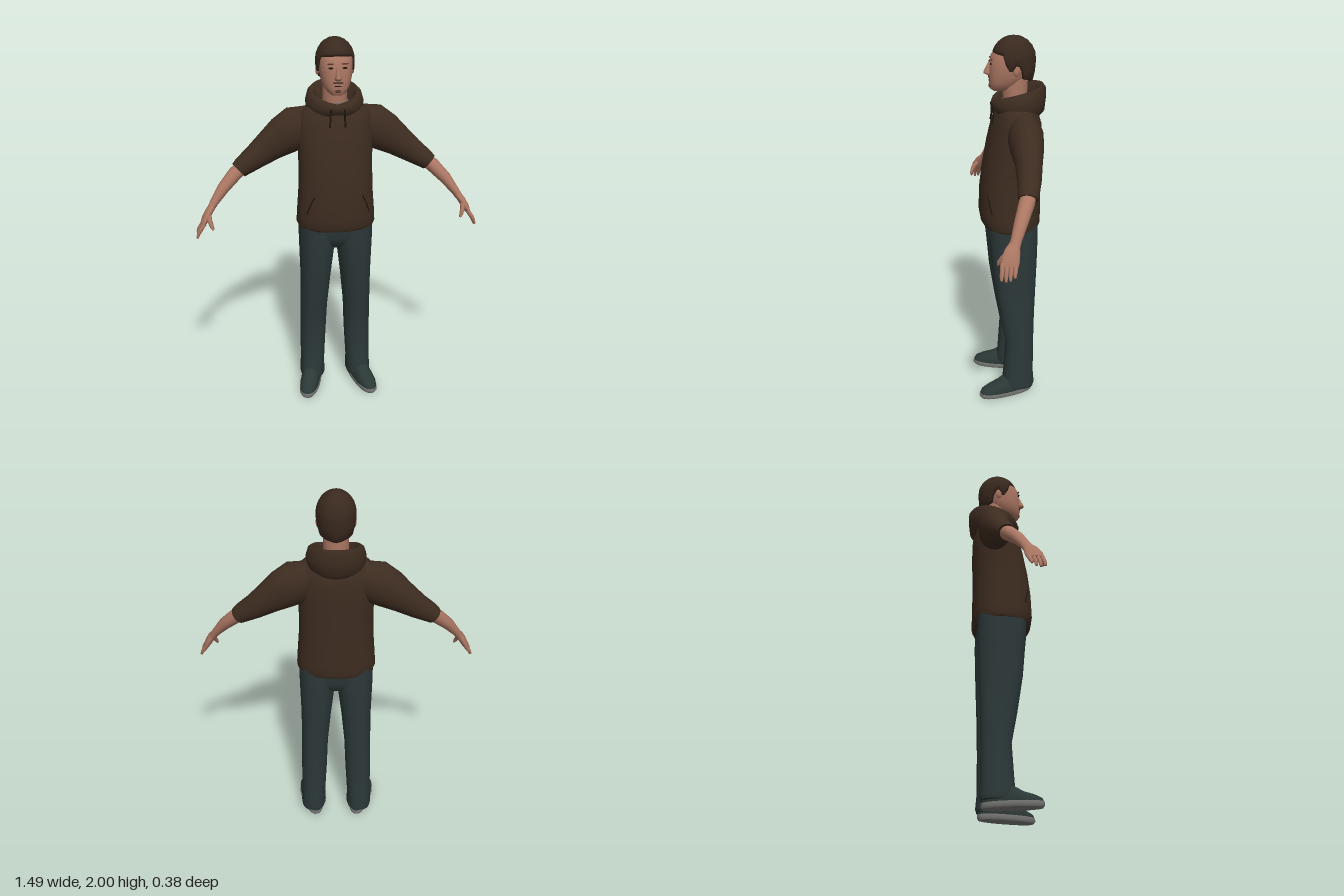
import * as THREE from 'three';

const V = (x, y, z) => new THREE.Vector3(x, y, z);
const colour = (name, hex) => {
  const m = new THREE.MeshStandardMaterial({ color: hex });
  m.name = name;
  return m;
};
const lerp = THREE.MathUtils.lerp;

// Value of a piecewise linear curve given as [position, value] pairs
function curveAt(pairs, p) {
  for (let i = 1; i < pairs.length; i++) {
    const [p0, v0] = pairs[i - 1], [p1, v1] = pairs[i];
    if (p <= p1) return lerp(v0, v1, (p - p0) / (p1 - p0));
  }
  return pairs[pairs.length - 1][1];
}

// Smooth skin over closed rings of points, with flat caps at both ends
function skinRings(rings) {
  const n = rings[0].length, pos = [], idx = [];
  const add = p => pos.push(p.x, p.y, p.z) / 3 - 1;
  rings.forEach(r => r.forEach(add));
  for (let i = 0; i < rings.length - 1; i++)
    for (let j = 0; j < n; j++) {
      const a = i * n + j, b = i * n + (j + 1) % n;
      idx.push(a, b, a + n, b, b + n, a + n);
    }
  [[rings[0], true], [rings[rings.length - 1], false]].forEach(([ring, first]) => {
    const mid = ring.reduce((s, p) => s.add(p), V(0, 0, 0)).divideScalar(n);
    const c = add(mid), s = ring.map(add);
    for (let j = 0; j < n; j++) {
      const k = (j + 1) % n;
      if (first) idx.push(c, s[k], s[j]); else idx.push(c, s[j], s[k]);
    }
  });
  const g = new THREE.BufferGeometry();
  g.setAttribute('position', new THREE.Float32BufferAttribute(pos, 3));
  g.setIndex(idx);
  g.computeVertexNormals();
  return g;
}

const around = (n, f) => Array.from({ length: n }, (_, j) => f(j / n * Math.PI * 2));
const power = (v, e) => Math.sign(v) * Math.abs(v) ** e;

// Upright body: rows of [y, centre x, half width, front z, back z]
const upright = (rows, e = 0.85, n = 28) => skinRings(rows.map(([y, cx, rx, zf, zb]) =>
  around(n, a => V(cx + rx * power(Math.sin(a), e), y, (zf + zb) / 2 + (zf - zb) / 2 * power(Math.cos(a), e)))));

// Limb along a path: rows of [x, y, z, thickness, width along z]
function limb(rows, n = 16) {
  const pts = rows.map(r => V(r[0], r[1], r[2]));
  return skinRings(rows.map((r, i) => {
    const dir = pts[Math.min(i + 1, pts.length - 1)].clone().sub(pts[Math.max(i - 1, 0)]).normalize();
    const v = V(0, 0, 1).addScaledVector(dir, -dir.z).normalize();
    const u = dir.clone().cross(v);
    return around(n, a => pts[i].clone().addScaledVector(u, r[3] * Math.sin(a)).addScaledVector(v, r[4] * Math.cos(a)));
  }));
}

function mirrored(geo) {
  const g = geo.clone().scale(-1, 1, 1), ix = g.index.array;
  for (let i = 0; i < ix.length; i += 3) [ix[i], ix[i + 1]] = [ix[i + 1], ix[i]];
  g.computeVertexNormals();
  return g;
}

const blob = (x, y, z, rx, ry, rz) => new THREE.SphereGeometry(1, 14, 10).scale(rx, ry, rz).translate(x, y, z);
const cord = (pts, r) => new THREE.TubeGeometry(new THREE.CatmullRomCurve3(pts), 8, r, 6);

export function createModel() {
  const model = new THREE.Group();
  model.name = 'standingMan';
  const cloth = colour('brown hoodie', 0x3d2c20), trim = colour('dark trim', 0x1f160f);
  const hairMat = colour('dark brown hair', 0x39291e), skin = colour('skin', 0xab7763);
  const denim = colour('dark teal trousers', 0x2c3838), shoeMat = colour('dark shoe', 0x2b3836);
  const rubber = colour('grey sole', 0x7b7b79), tee = colour('grey shirt', 0x68665f);
  const stubble = colour('facial hair', 0x5d3c30);

  const part = (name, geo, mat) => {
    const m = new THREE.Mesh(geo, mat);
    m.name = name;
    model.add(m);
  };
  const pair = (name, geo, mat) => {
    part(name + 'Left', geo, mat);
    part(name + 'Right', mirrored(geo), mat);
  };

  // Hoodie body
  part('hoodieBody', upright([
    [1.0, 0, 0.203, 0.14, -0.155], [1.02, 0, 0.211, 0.152, -0.165], [1.07, 0, 0.208, 0.16, -0.166],
    [1.2, 0, 0.198, 0.155, -0.165], [1.32, 0, 0.195, 0.14, -0.165], [1.45, 0, 0.197, 0.115, -0.17],
    [1.55, 0, 0.2, 0.09, -0.168], [1.61, 0, 0.19, 0.068, -0.15], [1.645, 0, 0.15, 0.055, -0.13],
    [1.665, 0, 0.09, 0.045, -0.1]], 0.85, 36), cloth);

  // Hood: rows of [half width, front z, front y, back z, back y], outside to inside
  const hoodRows = [[0.13, 0.075, 1.62, -0.15, 1.58], [0.148, 0.09, 1.64, -0.185, 1.62],
    [0.152, 0.092, 1.655, -0.192, 1.68], [0.14, 0.085, 1.672, -0.192, 1.735], [0.122, 0.072, 1.676, -0.178, 1.755],
    [0.104, 0.054, 1.664, -0.145, 1.735], [0.085, 0.04, 1.62, -0.11, 1.66]];
  part('hood', skinRings(hoodRows.map(([rx, zf, yf, zb, yb]) => around(32, a => {
    const t = (1 - Math.cos(a)) / 2;
    return V(rx * Math.sin(a), lerp(yf, yb, t ** 0.6), lerp(zf, zb, t));
  }))), cloth);
  pair('drawstring', cord([V(0.034, 1.655, 0.088), V(0.037, 1.61, 0.083), V(0.04, 1.56, 0.09)], 0.005), trim);
  pair('pocketSlit', cord([V(0.165, 1.1, 0.107), V(0.148, 1.15, 0.117), V(0.125, 1.2, 0.128)], 0.004), trim);

  // Sleeves, forearms and hands
  pair('sleeve', limb([[0.11, 1.56, -0.06, 0.085, 0.075], [0.2, 1.525, -0.06, 0.116, 0.09],
    [0.27, 1.483, -0.058, 0.105, 0.083], [0.34, 1.435, -0.055, 0.085, 0.068], [0.42, 1.378, -0.045, 0.066, 0.06],
    [0.49, 1.332, -0.03, 0.052, 0.053], [0.51, 1.315, -0.025, 0.046, 0.048]], 24), cloth);
  pair('forearm', limb([[0.47, 1.345, -0.04, 0.036, 0.038], [0.53, 1.3, -0.015, 0.038, 0.039],
    [0.595, 1.235, 0.02, 0.032, 0.034], [0.645, 1.17, 0.05, 0.022, 0.027], [0.665, 1.14, 0.063, 0.02, 0.028]]), skin);
  pair('palm', limb([[0.655, 1.155, 0.058, 0.019, 0.025], [0.677, 1.125, 0.073, 0.02, 0.038],
    [0.697, 1.09, 0.085, 0.019, 0.045], [0.711, 1.062, 0.09, 0.012, 0.041]]), skin);
  for (let i = 0; i < 4; i++) {
    const z = 0.122 - i * 0.021, drop = [0.006, 0, 0.004, 0.018][i];
    pair('finger' + (i + 1), limb([[0.7, 1.08, z, 0.011, 0.011], [0.722, 1.047, z + 0.005, 0.011, 0.011],
      [0.733, 1.025 + drop / 2, z + 0.009, 0.009, 0.01], [0.74, 1.0 + drop, z + 0.01, 0.005, 0.006]], 8), skin);
  }
  pair('thumb', limb([[0.677, 1.125, 0.09, 0.014, 0.015], [0.672, 1.095, 0.117, 0.013, 0.014],
    [0.662, 1.068, 0.134, 0.011, 0.011], [0.655, 1.05, 0.138, 0.006, 0.006]], 8), skin);

  // Trousers
  pair('trouserLeg', upright([
    [0.04, 0.134, 0.066, 0.045, -0.12], [0.06, 0.133, 0.071, 0.055, -0.126], [0.13, 0.132, 0.067, 0.048, -0.12],
    [0.33, 0.126, 0.072, 0.035, -0.121], [0.5, 0.121, 0.074, 0.066, -0.125], [0.7, 0.111, 0.083, 0.097, -0.134],
    [0.85, 0.104, 0.094, 0.11, -0.14], [0.93, 0.1, 0.1, 0.118, -0.142], [1.03, 0.1, 0.1, 0.12, -0.142]]), denim);
  part('hips', upright([[0.87, 0, 0.04, 0.05, -0.08], [0.9, 0, 0.12, 0.09, -0.12],
    [0.95, 0, 0.19, 0.115, -0.138], [1.03, 0, 0.2, 0.12, -0.142]]), denim);

  // Shoes, turned slightly outwards
  const place = g => g.rotateY(0.25).translate(0.15, 0, 0.033);
  pair('sole', place(upright([[0, 0, 0.05, 0.152, -0.148], [0.012, 0, 0.057, 0.16, -0.153], [0.028, 0, 0.056, 0.158, -0.152]])), rubber);
  pair('shoe', place(upright([[0.027, 0, 0.054, 0.156, -0.15], [0.045, 0, 0.054, 0.148, -0.15],
    [0.062, 0, 0.05, 0.115, -0.147], [0.08, 0, 0.045, 0.06, -0.143], [0.11, 0, 0.04, 0.01, -0.135]])), shoeMat);

  // Neck, shirt collar and head
  part('neck', upright([[1.6, 0, 0.066, 0.03, -0.1], [1.68, 0, 0.064, 0.028, -0.095], [1.8, 0, 0.064, 0.04, -0.1]], 1), skin);
  part('shirtCollar', upright([[1.63, 0, 0.08, 0.05, -0.105], [1.672, 0, 0.07, 0.038, -0.1]], 1), tee);
  part('head', upright([
    [1.724, 0, 0.03, 0.082, 0.01], [1.735, 0, 0.047, 0.096, -0.02], [1.765, 0, 0.068, 0.1, -0.06],
    [1.8, 0, 0.079, 0.1, -0.09], [1.85, 0, 0.086, 0.099, -0.11], [1.9, 0, 0.087, 0.09, -0.12],
    [1.925, 0, 0.08, 0.073, -0.115], [1.95, 0, 0.07, 0.05, -0.1], [1.985, 0, 0.03, 0.005, -0.06]]), skin);
  part('nose', upright([[1.803, 0, 0.014, 0.11, 0.07], [1.811, 0, 0.019, 0.126, 0.07],
    [1.82, 0, 0.016, 0.128, 0.07], [1.868, 0, 0.009, 0.104, 0.07]], 1, 10), skin);
  pair('ear', blob(0.09, 1.838, -0.028, 0.01, 0.03, 0.018), skin);
  pair('eye', blob(0.035, 1.866, 0.0935, 0.013, 0.005, 0.004), trim);
  pair('eyebrow', blob(0.036, 1.886, 0.0905, 0.018, 0.004, 0.004), stubble);
  part('moustache', blob(0, 1.793, 0.1, 0.027, 0.006, 0.004), stubble);
  part('mouth', blob(0, 1.776, 0.0995, 0.019, 0.003, 0.003), trim);
  part('chinBeard', blob(0, 1.75, 0.0985, 0.015, 0.009, 0.004), stubble);

  // Hair cap with a hairline that dips at the sideburns and nape
  const hairline = [[0, 1.922], [0.3, 1.912], [0.38, 1.835], [0.47, 1.835], [0.5, 1.862], [0.58, 1.855], [0.64, 1.79], [1, 1.765]];
  const hairRing = (s, k) => around(40, a => {
    const low = curveAt(hairline, 1 - Math.abs(a / Math.PI - 1));
    const d = low - 1.885, start = Math.asin(d / (d < 0 ? 0.22 : 0.115));
    const t = lerp(start, Math.PI / 2 - 0.03, s), c = Math.cos(t) * k;
    return V(0.1 * c * Math.sin(a), 1.885 + (t < 0 ? 0.22 : 0.115) * Math.sin(t), -0.027 + 0.113 * c * Math.cos(a));
  });
  part('hair', skinRings([hairRing(0, 0.8), ...[0, 0.12, 0.25, 0.4, 0.55, 0.7, 0.85, 1].map(s => hairRing(s, 1))]), hairMat);

  return model;
}
